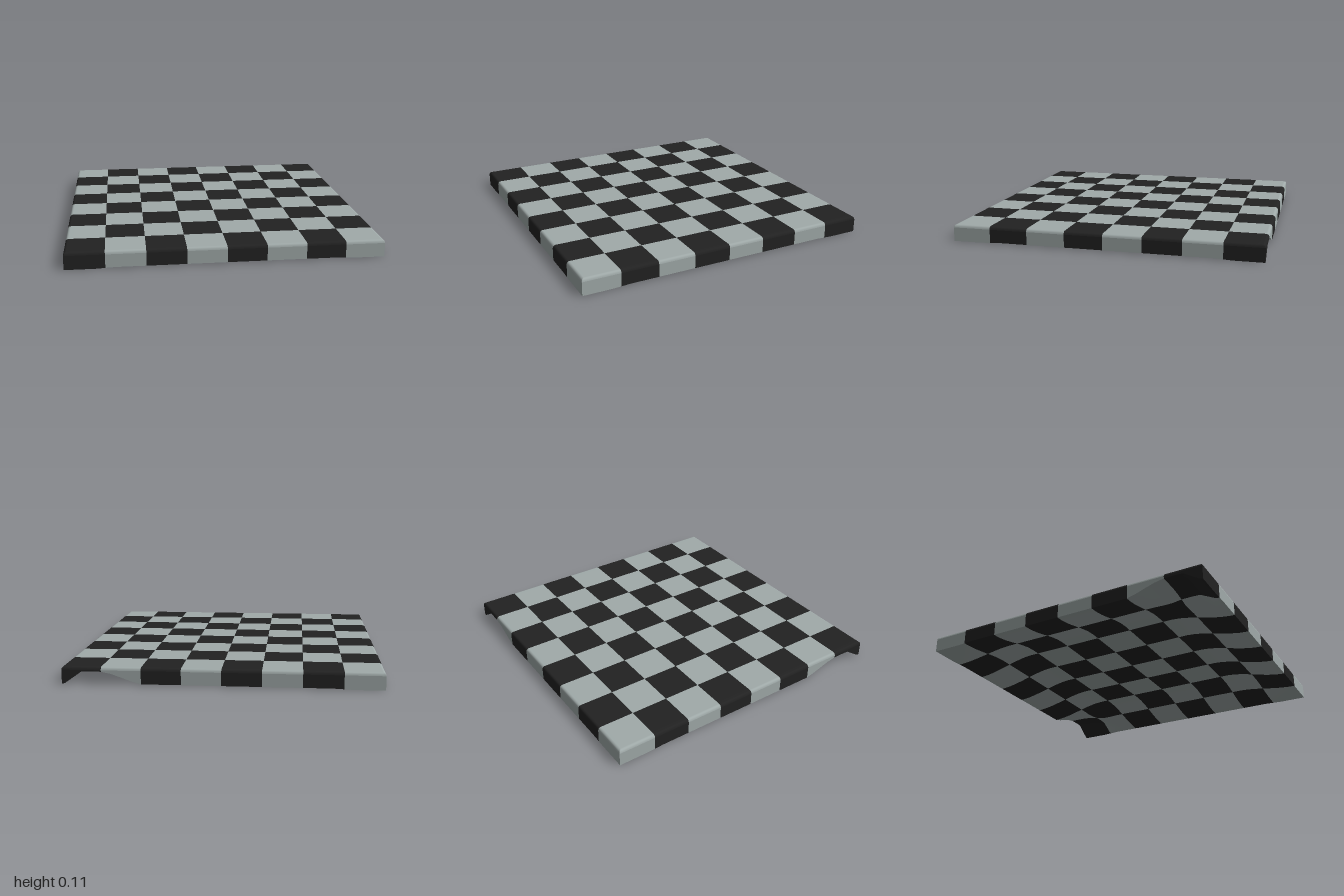
import * as THREE from 'three';

const TOP = 0.11, ROUND = 0.02, RIM = 0.006, CEILING = 0.085;

const light = new THREE.MeshStandardMaterial({ color: 0xa0aaa9 });
light.name = 'pale grey';
const dark = new THREE.MeshStandardMaterial({ color: 0x222222 });
dark.name = 'near black';

const smooth = THREE.MathUtils.smoothstep;

// Grid lines: four per square, plus extra ones for the rounded border
const lines = [];
for (let i = 0; i <= 32; i++) lines.push(-1 + i / 16);
for (const e of [0.98, 0.985, 0.99, 0.994, 0.998]) lines.push(e, -e);
lines.sort((a, b) => a - b);

// Rounded upper edge
function topHeight(x, z) {
  const d = 1 - Math.max(Math.abs(x), Math.abs(z));
  if (d >= ROUND) return TOP;
  return TOP - ROUND + Math.sqrt(Math.max(0, ROUND ** 2 - (ROUND - d) ** 2));
}

// Raised stretch of the lower rim beside a corner
const gap = t => smooth(t, 0.45, 0.77) * (1 - smooth(t, 0.86, 1));

// Hollow underside: low rim, smooth slope, raised middle, two gaps in the rim
function underHeight(x, z) {
  const dish = smooth(1 - Math.abs(x), 0, 0.45) * smooth(1 - Math.abs(z), 0, 0.45);
  const corner = smooth(Math.min(Math.abs(x), Math.abs(z)), 0.7, 0.8);
  const rim = RIM * (1 - corner);
  const backGap = 0.082 * gap(x) * (1 - smooth(z, -0.9, -0.4));
  const sideGap = 0.075 * gap(z) * (1 - smooth(x, -0.9, -0.4));
  return Math.max(rim + (CEILING - rim) * dish, backGap, sideGap);
}

// Which square of the eight by eight pattern a point lies in
const cell = t => Math.min(7, Math.max(0, Math.floor((t + 1) * 4)));
const isLight = (x, z) => (cell(x) + cell(z)) % 2 === 0;

// Surface over a grid of u and v, divided into pale and dark squares
function checkered(name, us, vs, point) {
  const positions = [], pale = [], black = [];
  for (const v of vs) for (const u of us) positions.push(...point(u, v));
  const n = us.length;
  for (let j = 0; j < vs.length - 1; j++) {
    for (let i = 0; i < n - 1; i++) {
      const a = j * n + i, b = a + 1, c = b + n, d = a + n;
      const [x, , z] = point((us[i] + us[i + 1]) / 2, (vs[j] + vs[j + 1]) / 2);
      (isLight(x, z) ? pale : black).push(a, b, c, a, c, d);
    }
  }
  const geometry = new THREE.BufferGeometry();
  geometry.setAttribute('position', new THREE.Float32BufferAttribute(positions, 3));
  geometry.setIndex([...pale, ...black]);
  geometry.computeVertexNormals();
  geometry.addGroup(0, pale.length, 0);
  geometry.addGroup(pale.length, black.length, 1);
  const mesh = new THREE.Mesh(geometry, [light, dark]);
  mesh.name = name;
  return mesh;
}

export function createModel() {
  const board = new THREE.Group();
  board.name = 'checkered board';

  // Playing surface and hollow underside
  board.add(checkered('playingSurface', lines, lines, (z, x) => [x, topHeight(x, z), z]));
  board.add(checkered('underside', lines, lines, (x, z) => [x, underHeight(x, z), z]));

  // Four side walls, each a quarter turn from the last
  const names = ['frontWall', 'leftWall', 'backWall', 'rightWall'];
  names.forEach((name, k) => {
    board.add(checkered(name, lines, [0, 1], (u, v) => {
      let x = u, z = 1;
      for (let i = 0; i < k; i++) [x, z] = [z, -x];
      return [x, THREE.MathUtils.lerp(underHeight(x, z), TOP - ROUND, v), z];
    }));
  });
  return board;
}
